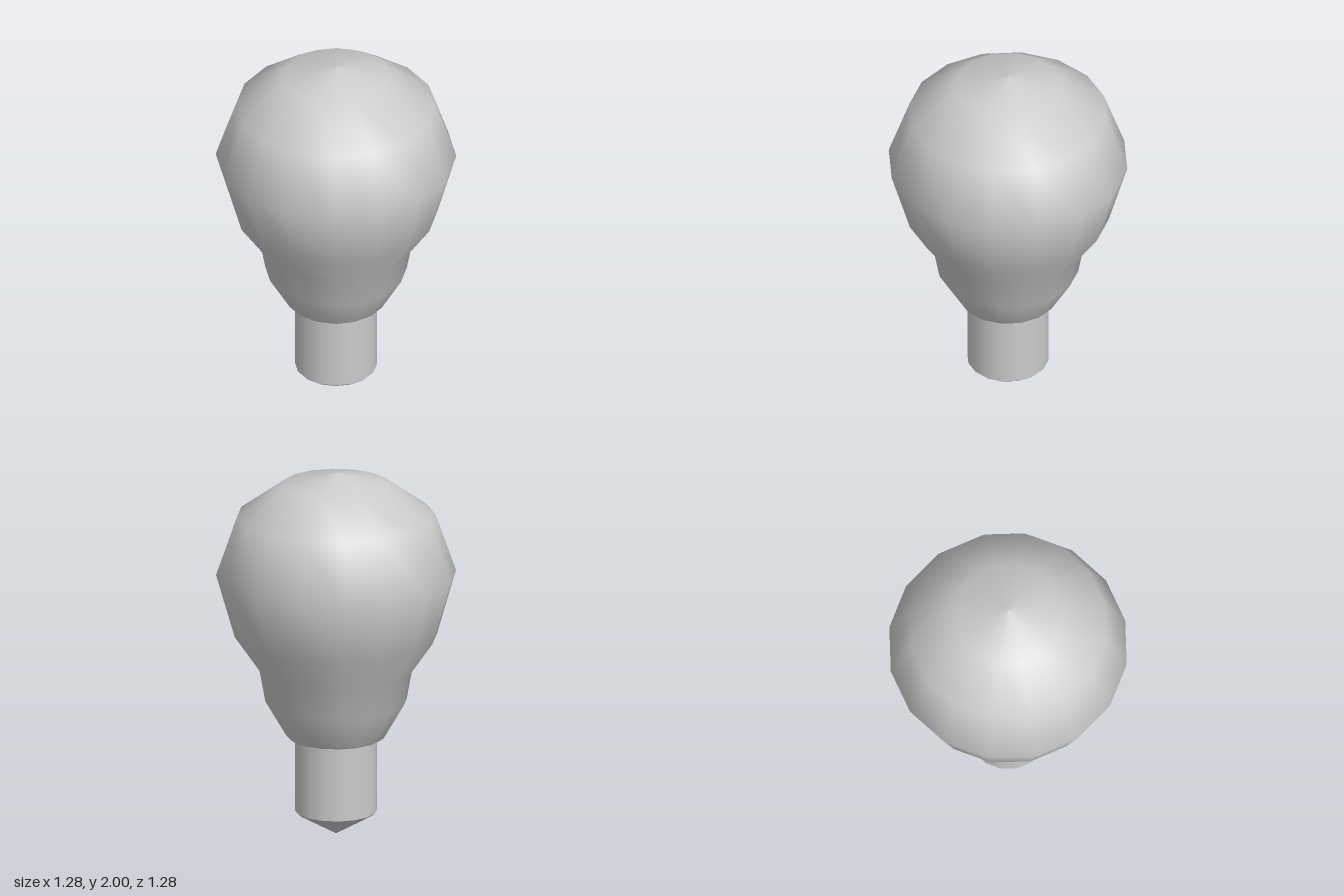
import * as THREE from 'three';

const SIDES = 16;

// Revolves a bottom-to-top profile of [radius, height] pairs around the y axis
function turned(name, profile, material) {
  const points = profile.map(([r, y]) => new THREE.Vector2(r, y));
  const mesh = new THREE.Mesh(new THREE.LatheGeometry(points, SIDES), material);
  mesh.name = name;
  return mesh;
}

export function createModel() {
  const group = new THREE.Group();
  group.name = 'lightBulb';
  const material = new THREE.MeshStandardMaterial({ color: 0xcccccc });

  // Pointed contact under the base
  group.add(turned('contactTip', [[0, 0], [0.205, 0.118], [0.218, 0.13]], material));

  // Straight cylindrical base, running a little into the collar
  group.add(turned('base', [[0.218, 0.13], [0.218, 0.56]], material));

  // Flat ring closing the underside of the collar
  group.add(turned('collarUnderside', [[0.2, 0.54], [0.252, 0.54]], material));

  // Collar swelling into the round glass
  group.add(turned('bulb', [
    [0.252, 0.54], [0.266, 0.55], [0.377, 0.74], [0.408, 0.91], [0.54, 1.1],
    [0.64, 1.447], [0.53, 1.763], [0.287, 1.938], [0, 2],
  ], material));

  return group;
}
